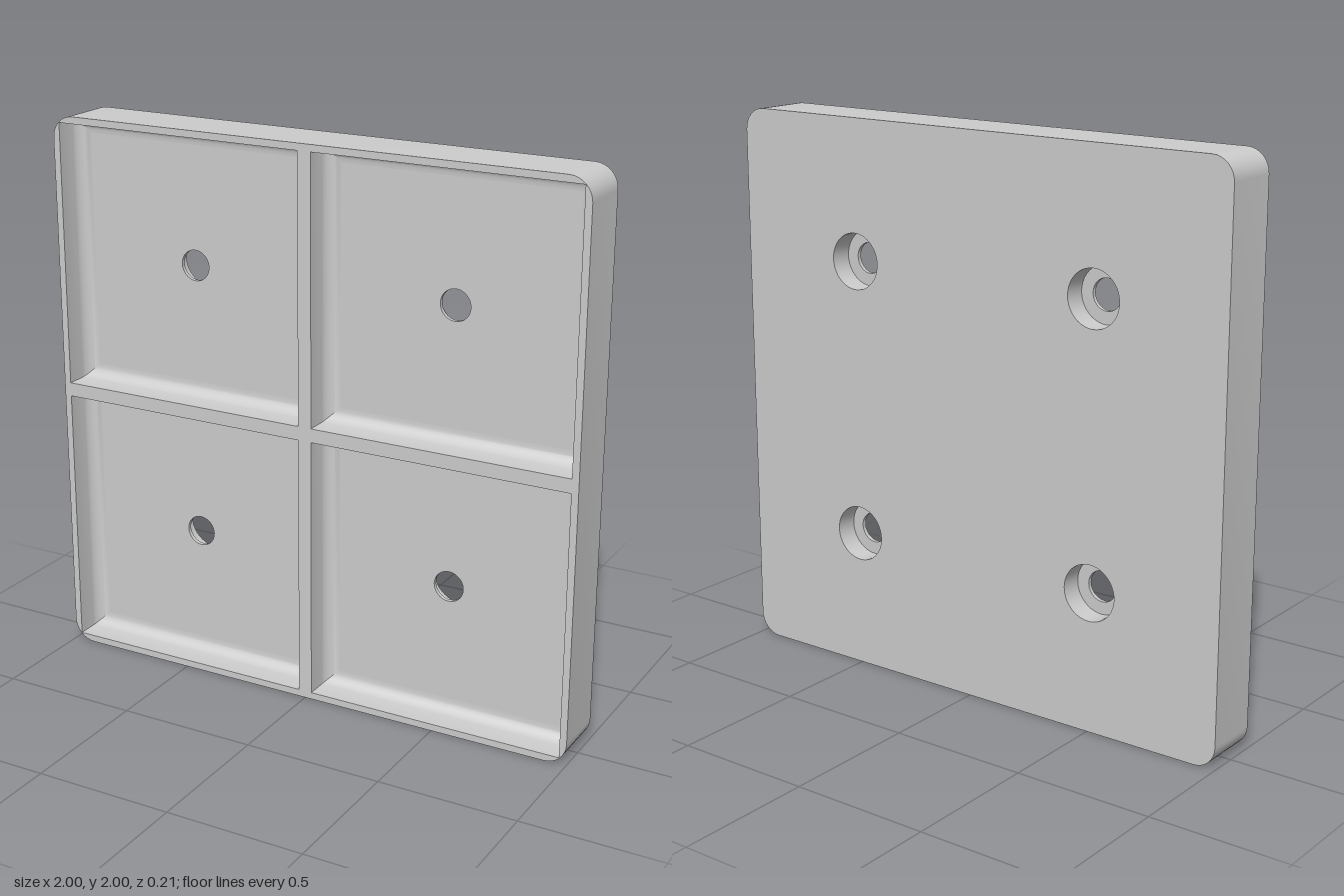
import * as THREE from 'three';
import { toCreasedNormals } from 'three/addons/utils/BufferGeometryUtils.js';

const FRONT = 0.105, BACK = -0.105;   // plate faces
const FLOOR = -0.01, SHOULDER = -0.025; // pocket floor and counterbore shoulder
const HALF = 0.475, COVE = 0.05;      // pocket half size and cove radius
const HOLE = 0.055, BORE = 0.1;

// Counter-clockwise outlines
const square = (h, cx = 0, cy = 0) =>
  [[-h, -h], [h, -h], [h, h], [-h, h]].map(([x, y]) => new THREE.Vector2(cx + x, cy + y));

const circle = (r, cx = 0, cy = 0, n = 40) =>
  Array.from({ length: n }, (_, i) => {
    const a = (i / n) * Math.PI * 2;
    return new THREE.Vector2(cx + r * Math.cos(a), cy + r * Math.sin(a));
  });

const roundedSquare = (h, r, n = 8) => {
  const pts = [];
  [[1, 1], [-1, 1], [-1, -1], [1, -1]].forEach(([sx, sy], k) => {
    for (let i = 0; i <= n; i++) {
      const a = (k + i / n) * Math.PI / 2;
      pts.push(new THREE.Vector2(sx * (h - r) + r * Math.cos(a), sy * (h - r) + r * Math.sin(a)));
    }
  });
  return pts;
};

// Skin between closed outlines placed at given depths
function loft(rings) {
  const n = rings[0].pts.length, pos = [], idx = [];
  rings.forEach(({ pts, z }) => pts.forEach(p => pos.push(p.x, p.y, z)));
  for (let k = 0; k < rings.length - 1; k++) {
    for (let i = 0; i < n; i++) {
      const a = k * n + i, b = k * n + (i + 1) % n;
      idx.push(a, b, b + n, a, b + n, a + n);
    }
  }
  const g = new THREE.BufferGeometry();
  g.setAttribute('position', new THREE.Float32BufferAttribute(pos, 3));
  g.setIndex(idx);
  return toCreasedNormals(g, Math.PI / 6);
}

// Flat face with cut-outs
function face(outline, holes) {
  const shape = new THREE.Shape(outline);
  shape.holes = holes.map(h => new THREE.Path(h));
  return new THREE.ShapeGeometry(shape);
}

export function createModel() {
  const model = new THREE.Group();
  model.name = 'dividedTray';
  const grey = new THREE.MeshStandardMaterial({ color: 0xcccccc });
  grey.name = 'lightGrey';

  const add = (parent, name, geometry, x = 0, y = 0, z = 0) => {
    const mesh = new THREE.Mesh(geometry, grey);
    mesh.name = name;
    mesh.position.set(x, y, z);
    parent.add(mesh);
  };

  const outline = roundedSquare(1, 0.08);
  const centres = [[-0.5, -0.5], [0.5, -0.5], [-0.5, 0.5], [0.5, 0.5]];

  // Outer shell: edge band, front rim with cross rails, back with four bores
  add(model, 'outerEdge', loft([{ pts: outline, z: BACK }, { pts: outline, z: FRONT }]), 0, 1);
  add(model, 'rimAndRails', face(outline, centres.map(c => square(HALF, ...c))), 0, 1, FRONT);
  const back = face(outline, centres.map(c => circle(BORE, ...c)));
  add(model, 'backFace', back.rotateY(Math.PI), 0, 1, BACK);

  // Pocket wall: straight drop, then a cove curving into the floor
  const wallRings = [{ pts: square(HALF), z: FRONT }];
  for (let i = 0; i <= 8; i++) {
    const a = (i / 8) * Math.PI / 2;
    wallRings.push({
      pts: square(HALF - COVE * (1 - Math.cos(a))),
      z: FLOOR + COVE * (1 - Math.sin(a)),
    });
  }
  const wall = loft(wallRings);
  const floor = face(square(HALF - COVE), [circle(HOLE)]);

  // Screw hole opening into a wider counterbore at the back
  const bore = loft([
    { pts: circle(HOLE), z: FLOOR }, { pts: circle(HOLE), z: SHOULDER },
    { pts: circle(BORE), z: SHOULDER }, { pts: circle(BORE), z: BACK },
  ]);

  for (const [x, y] of centres) {
    const pocket = new THREE.Group();
    pocket.name = 'pocket';
    pocket.position.set(x, y + 1, 0);
    add(pocket, 'pocketWall', wall);
    add(pocket, 'pocketFloor', floor, 0, 0, FLOOR);
    add(pocket, 'screwHole', bore);
    model.add(pocket);
  }
  return model;
}
